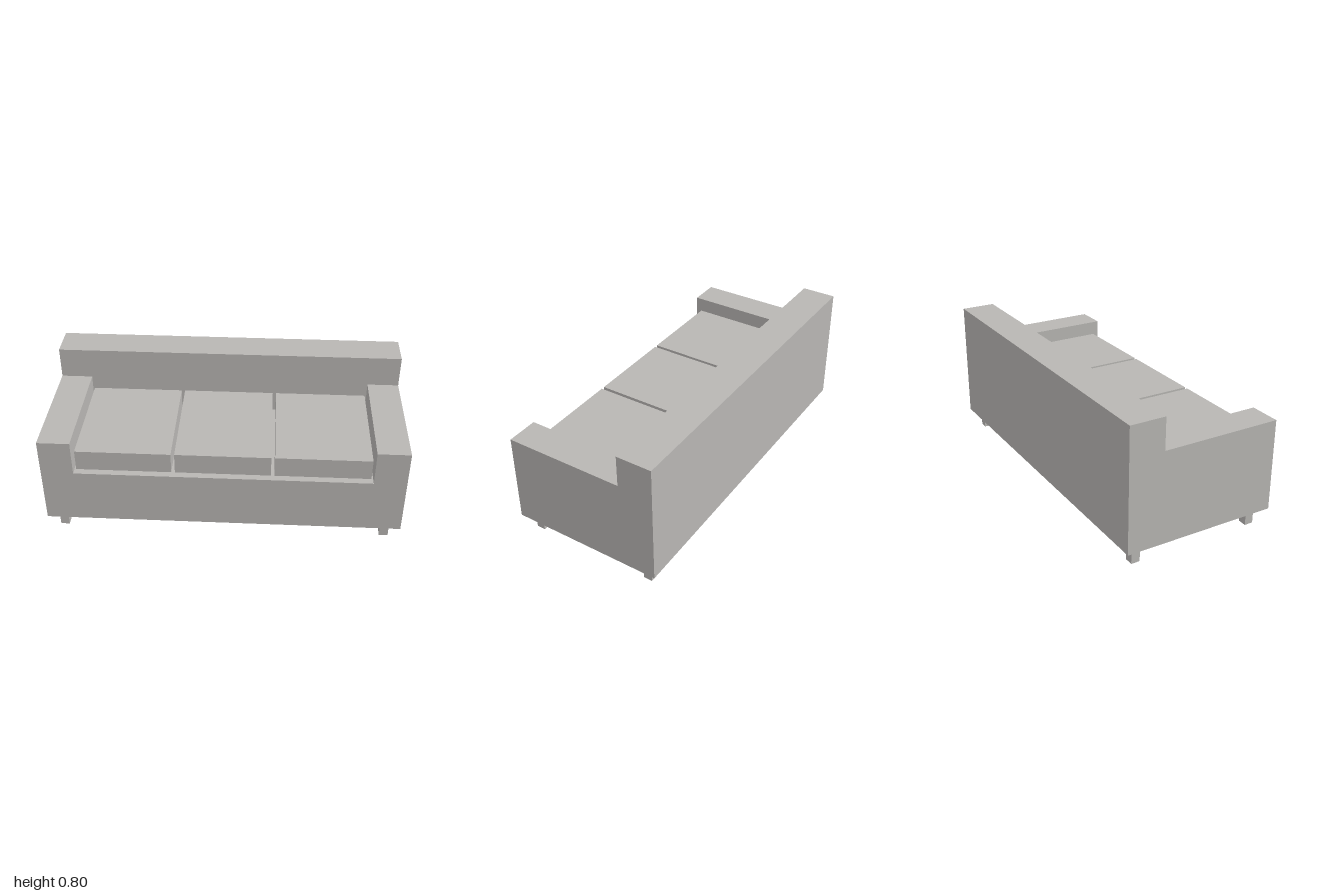
import * as THREE from 'three';

export function createModel() {
  const sofa = new THREE.Group();
  sofa.name = 'sofa';

  const fabric = new THREE.MeshStandardMaterial({ color: 0xb8b6b3 });
  fabric.name = 'warm grey';

  const add = (name, geometry, x, y, z) => {
    const mesh = new THREE.Mesh(geometry, fabric);
    mesh.name = name;
    mesh.position.set(x, y, z);
    sofa.add(mesh);
  };

  const back = -0.44, backFront = -0.24, front = 0.44;
  const bottom = 0.1, seatY = 0.42, armY = 0.62, top = 0.8;
  const armInner = 0.82;

  // Base and both arms: one U-shaped profile running front to back
  const profile = new THREE.Shape([
    [-1, bottom], [1, bottom], [1, armY], [armInner, armY],
    [armInner, seatY], [-armInner, seatY], [-armInner, armY], [-1, armY],
  ].map(([x, y]) => new THREE.Vector2(x, y)));
  add('baseAndArms',
    new THREE.ExtrudeGeometry(profile, { depth: front - backFront, bevelEnabled: false }),
    0, 0, backFront);

  // Backrest across the full width, down to the underside
  add('backrest', new THREE.BoxGeometry(2, top - bottom, backFront - back),
    0, (top + bottom) / 2, (back + backFront) / 2);

  // Three seat cushions with narrow gaps
  const cushion = new THREE.BoxGeometry(0.527, 0.12, 0.64);
  ['rightCushion', 'middleCushion', 'leftCushion'].forEach((name, i) =>
    add(name, cushion, (i - 1) * 0.547, seatY + 0.06, 0.08));

  // Four short square legs
  const leg = new THREE.BoxGeometry(0.05, bottom, 0.05);
  for (const [side, x] of [['Left', 0.92], ['Right', -0.92]]) {
    add('front' + side + 'Leg', leg, x, bottom / 2, 0.36);
    add('back' + side + 'Leg', leg, x, bottom / 2, -0.36);
  }

  return sofa;
}
